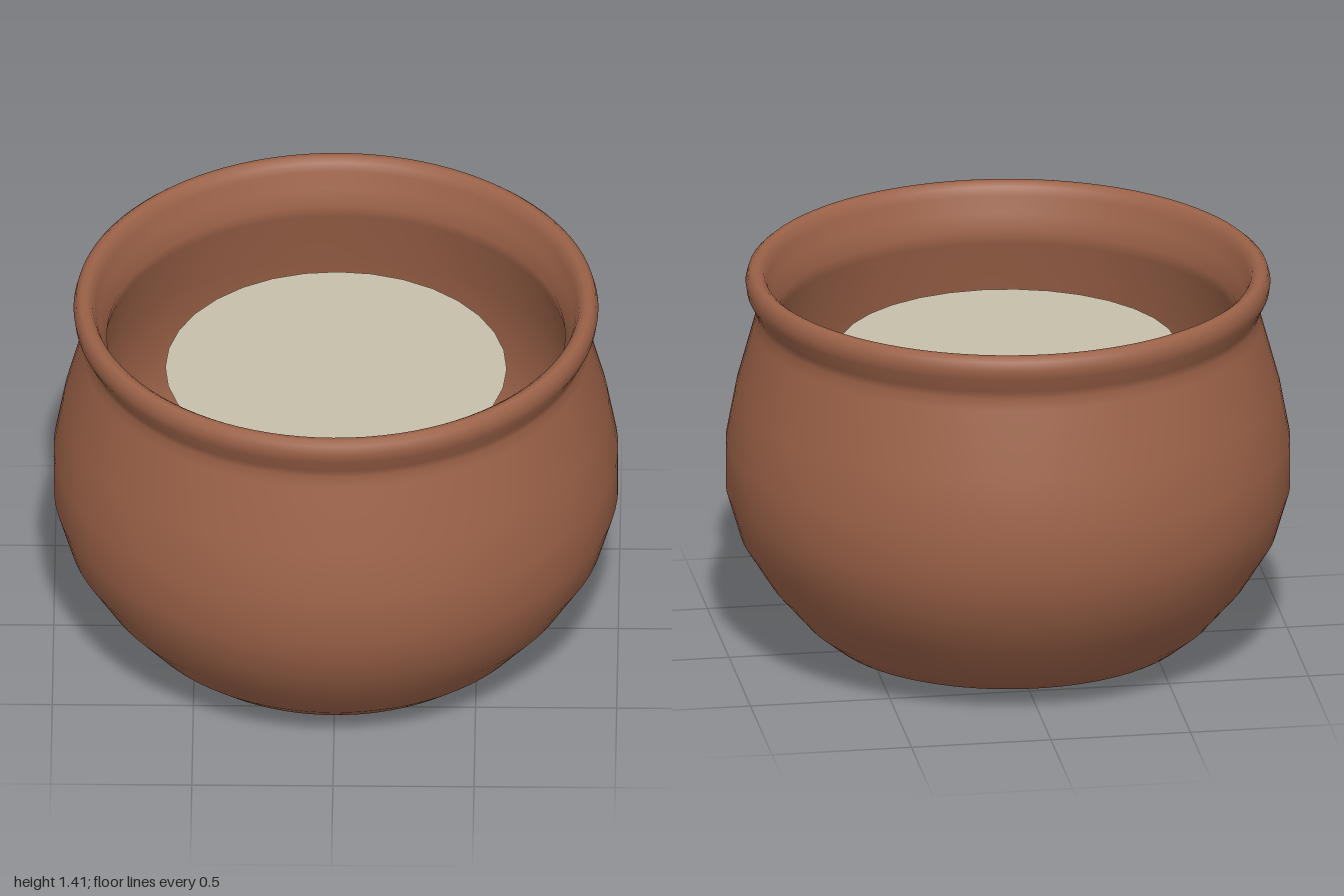
import * as THREE from 'three';

const clay = new THREE.MeshStandardMaterial({ color: 0x9c6248 });
clay.name = 'terracotta';
const cream = new THREE.MeshStandardMaterial({ color: 0xc6bfaa, side: THREE.DoubleSide });
cream.name = 'cream';

// Outer wall, from the base centre up to the rolled rim
const outer = [
  [0, 0], [0.33, 0.008], [0.52, 0.025], [0.65, 0.065], [0.73, 0.13], [0.85, 0.27],
  [0.95, 0.43], [1, 0.6], [1, 0.78], [0.965, 0.97], [0.9, 1.21], [0.89, 1.25],
  [0.897, 1.28], [0.925, 1.335], [0.93, 1.37], [0.922, 1.4], [0.905, 1.415],
];
// Inner wall, from the rim down to the floor
const inner = [
  [0.885, 1.415], [0.865, 1.4], [0.853, 1.37], [0.835, 1.31], [0.812, 1.25], [0.82, 1.2],
  [0.885, 0.97], [0.92, 0.78], [0.92, 0.6], [0.875, 0.45], [0.78, 0.31], [0.66, 0.18],
  [0.5, 0.1], [0, 0.09],
];

export function createModel() {
  const model = new THREE.Group();
  model.name = 'pot';

  // Hollow bowl with its rim, turned as one piece
  const profile = [...outer, ...inner].map(([r, y]) => new THREE.Vector2(r, y));
  const bowl = new THREE.Mesh(new THREE.LatheGeometry(profile, 96), clay);
  bowl.name = 'bowl';
  model.add(bowl);

  // Flat surface of the contents, just below the neck
  const contents = new THREE.Mesh(new THREE.CircleGeometry(0.605, 32), cream);
  contents.name = 'contents';
  contents.rotation.x = -Math.PI / 2;
  contents.position.y = 1.11;
  model.add(contents);

  return model;
}
